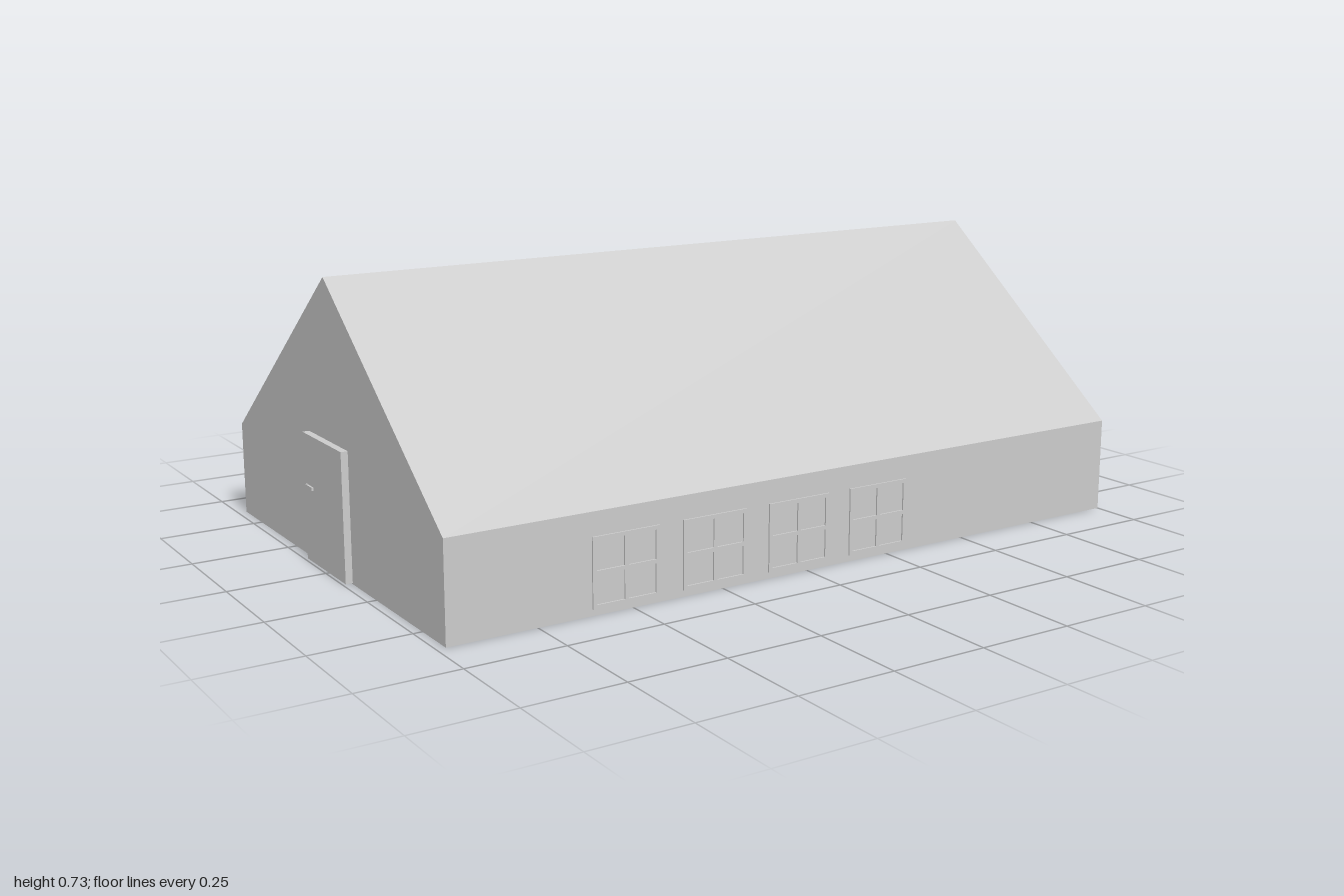
import * as THREE from 'three';

const material = new THREE.MeshStandardMaterial({ color: 0xcccccc, flatShading: true });

function addMesh(parent, geometry, name, x = 0, y = 0, z = 0) {
  const mesh = new THREE.Mesh(geometry, material);
  mesh.name = name;
  mesh.position.set(x, y, z);
  parent.add(mesh);
  return mesh;
}

// Gabled outline swept along the length of the house
function houseShell() {
  const gable = new THREE.Shape([
    [-0.618, 0], [0.618, 0], [0.618, 0.247], [0, 0.729], [-0.618, 0.247],
  ].map(([x, y]) => new THREE.Vector2(x, y)));
  const geometry = new THREE.ExtrudeGeometry(gable, { depth: 1.977, bevelEnabled: false });
  return geometry.rotateY(Math.PI / 2).translate(-0.977, 0, 0);
}

// Thin window frame with four openings, its back on z = 0
function windowFrame(width, height, bar, depth) {
  const w = width / 2, h = height / 2;
  const rectangle = (Type, x0, y0, x1, y1) => new Type([
    new THREE.Vector2(x0, y0), new THREE.Vector2(x1, y0),
    new THREE.Vector2(x1, y1), new THREE.Vector2(x0, y1),
  ]);
  const frame = rectangle(THREE.Shape, -w, -h, w, h);
  for (const x of [-w + bar, bar / 2]) {
    for (const y of [-h + bar, bar / 2]) {
      frame.holes.push(rectangle(THREE.Path, x, y, x + w - 1.5 * bar, y + h - 1.5 * bar));
    }
  }
  return new THREE.ExtrudeGeometry(frame, { depth, bevelEnabled: false });
}

export function createModel() {
  const model = new THREE.Group();
  model.name = 'house';

  addMesh(model, houseShell(), 'wallsAndRoof');

  // Four windows along each long wall
  const frame = windowFrame(0.18, 0.172, 0.01, 0.005);
  for (const [side, firstX] of [[1, -0.519], [-1, -0.45]]) {
    for (let i = 0; i < 4; i++) {
      const name = (side > 0 ? 'frontWindow' : 'backWindow') + (i + 1);
      const mesh = addMesh(model, frame, name, firstX + i * 0.246, 0.102, side * 0.617);
      if (side < 0) mesh.rotation.y = Math.PI;
    }
  }

  // Door on the gable end, with a lever handle
  addMesh(model, new THREE.BoxGeometry(0.02, 0.326, 0.24), 'door', -0.985, 0.166, -0.008);
  addMesh(model, new THREE.BoxGeometry(0.007, 0.008, 0.04), 'doorHandle', -0.9965, 0.196, -0.09);
  addMesh(model, new THREE.BoxGeometry(0.006, 0.01, 0.01), 'handlePost', -0.995, 0.196, -0.106);

  return model;
}
